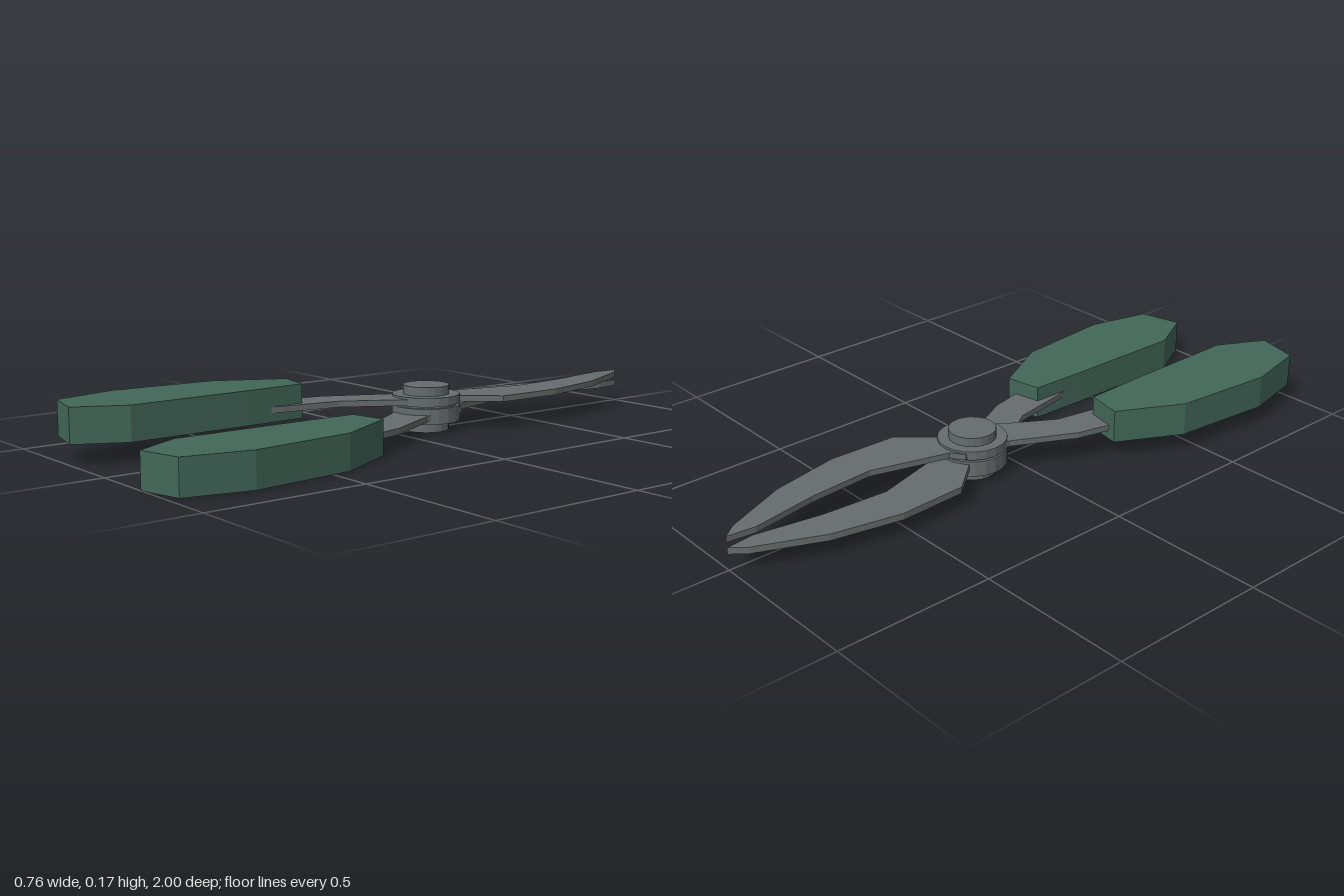
import * as THREE from 'three';

const steel = new THREE.MeshStandardMaterial({ color: 0x666c6e, flatShading: true });
const grip = new THREE.MeshStandardMaterial({ color: 0x43685a, flatShading: true });
const PIVOT_Z = -0.13;

// Outlines as [x, z], for the half whose jaw lies on +x and handle on -x
const JAW = [[0, -1], [0.037, -0.955], [0.127, -0.75], [0.172, -0.53], [0.164, -0.31], [0.07, -0.2],
  [0.05, -0.14], [-0.05, -0.14], [-0.07, -0.215], [-0.03, -0.245], [0.04, -0.49], [0.026, -0.7], [-0.01, -0.91]];
const SHANK = [[-0.09, -0.09], [-0.09, -0.06], [-0.19, 0.135], [-0.217, 0.25], [-0.23, 0.42], [-0.135, 0.42],
  [-0.115, 0.34], [-0.08, 0.15], [0, 0.02], [0.035, -0.03], [0.06, -0.05], [0.04, -0.13]];
const HANDLE = [[-0.243, 0.235], [-0.127, 0.257], [-0.121, 0.45], [-0.117, 0.85], [-0.196, 1],
  [-0.333, 0.967], [-0.38, 0.765], [-0.35, 0.437]];

// Flat plate from an outline, spanning y0 to y1; side = -1 mirrors it in x
function plate(name, outline, side, y0, y1, material) {
  const shape = new THREE.Shape(outline.map(([x, z]) => new THREE.Vector2(side * x, -z)));
  const geometry = new THREE.ExtrudeGeometry(shape, { depth: y1 - y0, bevelEnabled: false });
  geometry.rotateX(-Math.PI / 2).translate(0, y0, 0);
  const mesh = new THREE.Mesh(geometry, material);
  mesh.name = name;
  return mesh;
}

// Round piece on the pivot axis
function disc(name, radius, y0, y1) {
  const mesh = new THREE.Mesh(new THREE.CylinderGeometry(radius, radius, y1 - y0, 20), steel);
  mesh.position.set(0, (y0 + y1) / 2, PIVOT_Z);
  mesh.name = name;
  return mesh;
}

export function createModel() {
  const model = new THREE.Group();
  model.name = 'pliers';

  // Two crossing halves, one above the other
  const halves = [
    { name: 'upperHalf', side: 1, jaw: [0.088, 0.107], shank: [0.088, 0.107], handle: [0.06, 0.166] },
    { name: 'lowerHalf', side: -1, jaw: [0.051, 0.072], shank: [0.041, 0.06], handle: [0, 0.107] },
  ];
  for (const h of halves) {
    const half = new THREE.Group();
    half.name = h.name;
    half.add(
      plate('jaw', JAW, h.side, ...h.jaw, steel),
      plate('shank', SHANK, h.side, ...h.shank, steel),
      plate('handle', HANDLE, h.side, ...h.handle, grip),
    );
    model.add(half);
  }

  // Pivot joint
  model.add(
    disc('rivet', 0.073, 0, 0.142),
    disc('upperDisc', 0.107, 0.086, 0.114),
    disc('spacer', 0.097, 0.078, 0.088),
    disc('lowerDisc', 0.107, 0.031, 0.08),
  );
  return model;
}
